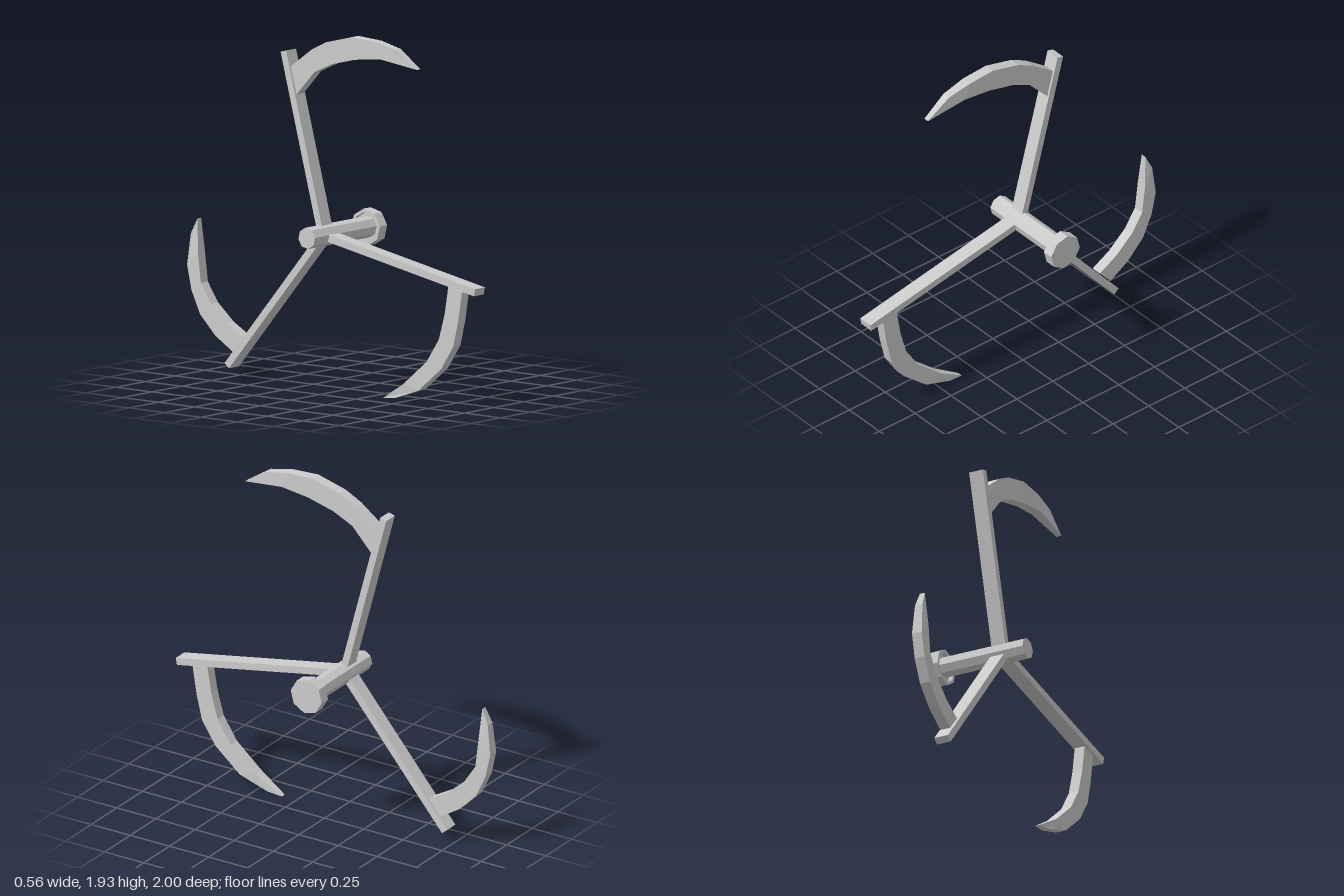
import * as THREE from 'three';

const material = new THREE.MeshStandardMaterial({ color: 0xcccccc, flatShading: true, side: THREE.DoubleSide });
const HUB = [0.065, 0.842];
const ARM_X = -0.118; // plane of the arms and blades along the axle

// The wheel is drawn in its own plane (u, v) with the axle along w.
function add(parent, name, geometry) {
  const mesh = new THREE.Mesh(geometry, material);
  mesh.name = name;
  parent.add(mesh);
  return mesh;
}

// Flat bar from the hub to its end point
function arm(end) {
  const du = end[0] - HUB[0], dv = end[1] - HUB[1];
  const length = Math.hypot(du, dv);
  const g = new THREE.BoxGeometry(length, 0.04, 0.084);
  g.translate(length / 2, 0, 0);
  g.rotateZ(Math.atan2(dv, du));
  g.translate(HUB[0], HUB[1], ARM_X);
  return g;
}

// Curved blade lofted through stations [outer u, outer v, inner u, inner v]
function blade(stations) {
  const pos = [], index = [];
  const last = stations.length - 1;
  stations.forEach(([ou, ov, iu, iv], i) => {
    const ho = i === last ? 0.023 : 0.03; // the tip narrows
    const hi = i === last ? 0.015 : 0.03;
    pos.push(ou, ov, ARM_X + ho, ou, ov, ARM_X - ho, iu, iv, ARM_X - hi, iu, iv, ARM_X + hi);
    if (i === last) return;
    for (let j = 0; j < 4; j++) {
      const a = i * 4 + j, b = i * 4 + (j + 1) % 4;
      index.push(a, b, b + 4, a, b + 4, a + 4);
    }
  });
  const e = last * 4;
  index.push(3, 2, 1, 3, 1, 0, e, e + 1, e + 2, e, e + 2, e + 3);
  const g = new THREE.BufferGeometry();
  g.setAttribute('position', new THREE.Float32BufferAttribute(pos, 3));
  g.setIndex(index);
  g.computeVertexNormals();
  return g;
}

const SPOKES = [
  {
    name: 'upper', end: [0.325, 1.815],
    stations: [
      [0.29, 1.73, 0.25, 1.58], [0.14, 1.84, 0.12, 1.72], [0.04, 1.89, 0, 1.775],
      [-0.135, 1.935, -0.16, 1.815], [-0.295, 1.925, -0.33, 1.835], [-0.435, 1.895, -0.575, 1.8],
    ],
  },
  {
    name: 'front', end: [-0.996, 0.64],
    stations: [
      [-0.9, 0.63, -0.805, 0.65], [-0.875, 0.475, -0.78, 0.5], [-0.84, 0.33, -0.74, 0.36],
      [-0.755, 0.2, -0.655, 0.23], [-0.6, 0.07, -0.495, 0.095], [-0.425, 0.01, -0.34, 0],
    ],
  },
  {
    name: 'rear', end: [0.716, 0.073],
    stations: [
      [0.685, 0.15, 0.61, 0.235], [0.805, 0.225, 0.725, 0.3], [0.91, 0.33, 0.835, 0.395],
      [0.97, 0.455, 0.905, 0.5], [1, 0.59, 0.925, 0.66], [0.98, 0.76, 0.94, 0.845],
    ],
  },
];

export function createModel() {
  const model = new THREE.Group();
  model.name = 'bladedWheel';
  const wheel = new THREE.Group();
  wheel.name = 'wheel';
  wheel.rotation.y = Math.PI / 2; // u -> -z, v -> y, w -> x
  model.add(wheel);

  // Eight-sided axle with a head, recessed around the shaft
  const profile = [
    [0, -0.28], [0.058, -0.28], [0.058, 0.24], [0.082, 0.24],
    [0.082, 0.216], [0.1, 0.216], [0.1, 0.278], [0, 0.278],
  ].map(([r, y]) => new THREE.Vector2(r, y));
  const axle = new THREE.LatheGeometry(profile, 8, THREE.MathUtils.degToRad(37));
  axle.rotateX(Math.PI / 2);
  axle.translate(HUB[0], HUB[1], 0);
  add(wheel, 'axle', axle);

  // Three arms, each carrying a blade
  for (const { name, end, stations } of SPOKES) {
    add(wheel, name + 'Arm', arm(end));
    add(wheel, name + 'Blade', blade(stations));
  }
  return model;
}
